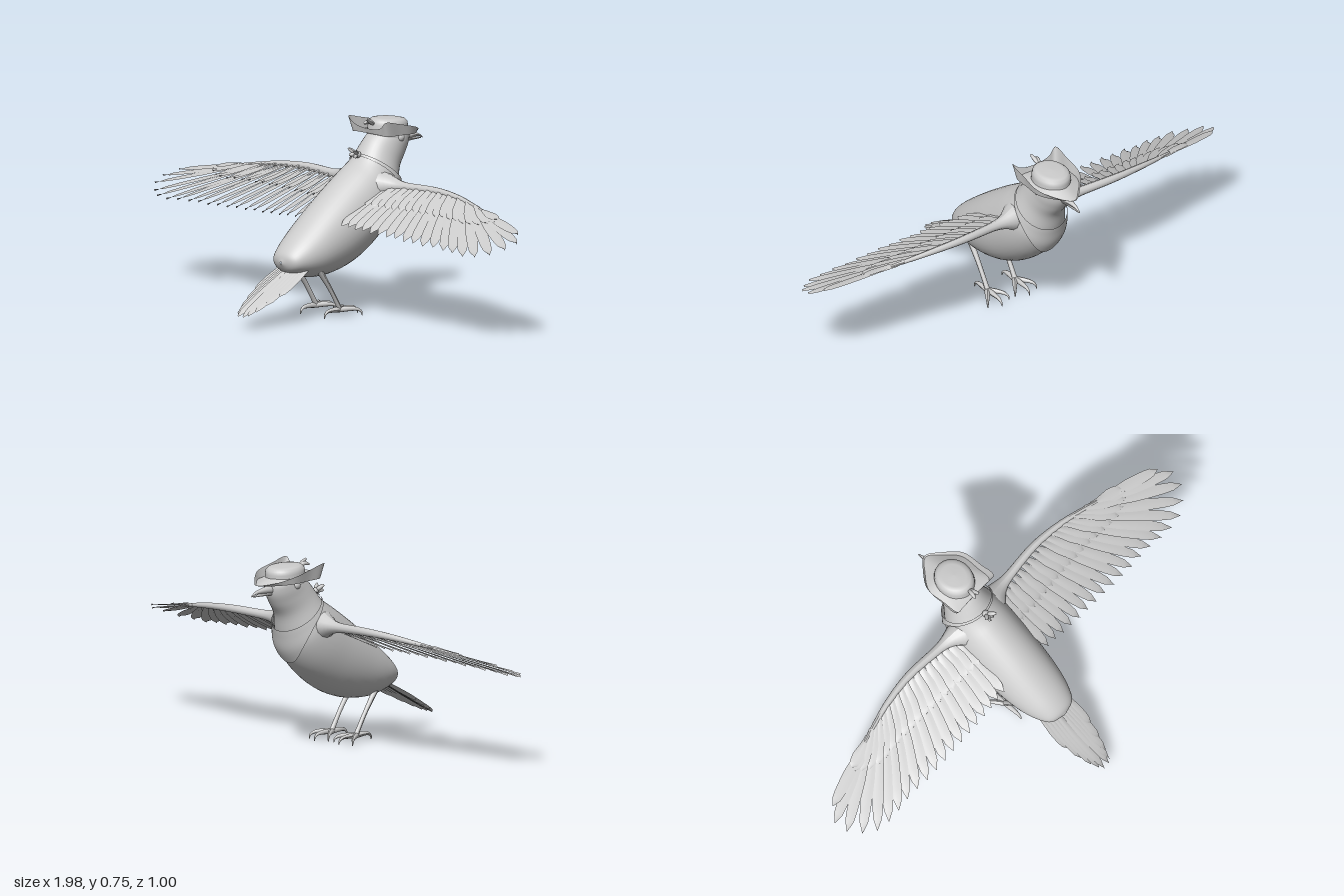
import * as THREE from 'three';
import { mergeVertices } from 'three/addons/utils/BufferGeometryUtils.js';

const mat = new THREE.MeshStandardMaterial({ color: 0xcccccc });
const thin = new THREE.MeshStandardMaterial({ color: 0xcccccc, side: THREE.DoubleSide });
const V = (x, y, z) => new THREE.Vector3(x, y, z);
const curve = (pts, closed = false) => new THREE.CatmullRomCurve3(pts.map(p => V(...p)), closed);

function add(parent, name, geometry, material = mat) {
  const mesh = new THREE.Mesh(geometry, material);
  mesh.name = name;
  parent.add(mesh);
  return mesh;
}

// Smooth surface from a rule fn(u, v), both running 0..1
function surface(nu, nv, fn) {
  const pos = [], idx = [];
  for (let i = 0; i <= nu; i++)
    for (let j = 0; j <= nv; j++) pos.push(...fn(i / nu, j / nv).toArray());
  for (let i = 0; i < nu; i++)
    for (let j = 0; j < nv; j++) {
      const a = i * (nv + 1) + j, b = a + 1, c = a + nv + 1, d = c + 1;
      idx.push(a, b, c, b, d, c);
    }
  let g = new THREE.BufferGeometry();
  g.setAttribute('position', new THREE.Float32BufferAttribute(pos, 3));
  g.setIndex(idx);
  g = mergeVertices(g, 1e-5);
  g.computeVertexNormals();
  return g;
}

// Tube whose radius follows a rule along its path
function taper(pts, radius, seg = 16, sides = 12) {
  const path = curve(pts);
  const g = new THREE.TubeGeometry(path, seg, 1, sides);
  const p = g.attributes.position, v = V(0, 0, 0);
  for (let k = 0; k < p.count; k++) {
    const t = Math.floor(k / (sides + 1)) / seg, c = path.getPointAt(t);
    v.fromBufferAttribute(p, k).sub(c).multiplyScalar(radius(t)).add(c);
    p.setXYZ(k, v.x, v.y, v.z);
  }
  g.computeVertexNormals();
  return g;
}
const lerpR = (a, b) => t => a + (b - a) * t;

// Body sections: back z, back y, belly z, belly y, half width
const sections = [
  [0.276, 0.245, 0.276, 0.235, 0.004], [0.265, 0.277, 0.25, 0.2, 0.06], [0.23, 0.315, 0.2, 0.18, 0.088],
  [0.16, 0.375, 0.12, 0.164, 0.112], [0.06, 0.455, 0, 0.175, 0.127], [-0.03, 0.52, -0.12, 0.22, 0.132],
  [-0.09, 0.56, -0.24, 0.31, 0.13], [-0.13, 0.585, -0.305, 0.4, 0.12], [-0.155, 0.607, -0.325, 0.47, 0.103],
  [-0.18, 0.64, -0.343, 0.54, 0.086], [-0.21, 0.675, -0.375, 0.59, 0.078], [-0.25, 0.705, -0.397, 0.635, 0.074],
  [-0.3, 0.722, -0.4, 0.67, 0.062], [-0.355, 0.712, -0.375, 0.7, 0.006],
];
const backLine = curve(sections.map(s => [s[4], s[1], s[0]]));
const bellyLine = curve(sections.map(s => [s[4], s[3], s[2]]));

// Point on the body: s = section number, angle 0 at the back, PI at the belly
function onBody(s, angle, grow = 0) {
  const t = s / (sections.length - 1);
  const a = backLine.getPoint(t), b = bellyLine.getPoint(t);
  const k = Math.cos(angle), half = a.clone().sub(b).multiplyScalar(0.5).setX(0);
  const len = half.length();
  const mid = a.clone().add(b).multiplyScalar(0.5).setX(0);
  return mid.addScaledVector(half, k * (1 + grow / Math.max(len, 0.02)))
    .setX(Math.sin(angle) * (a.x + grow));
}

// Rounded blade with a raised shaft
function feather(root, tip, width, up) {
  const dir = tip.clone().sub(root), side = dir.clone().cross(up).normalize();
  return surface(10, 4, (u, v) => {
    const e = v * 2 - 1;
    const w = width * (0.45 + 0.55 * Math.min(1, u * 2)) * Math.sqrt(Math.max(0, 1 - Math.pow(u, 7)));
    return root.clone().addScaledVector(dir, u).addScaledVector(side, e * w / 2)
      .addScaledVector(up, (1 - Math.abs(e)) * 0.004 * (1 - u) + e * 0.004);
  });
}

// Height of the sloping wing plane
const wingY = (x, z) => 0.508 - 0.42 * (z + 0.22) - 0.035 * Math.max(0, x - 0.45);

function makeWing() {
  const wing = new THREE.Group();
  wing.name = 'wing';
  const onWing = ([x, z]) => [x, wingY(x, z), z];
  const armPts = [[0.07, -0.19], [0.13, -0.205], [0.22, -0.213], [0.37, -0.222], [0.5, -0.21], [0.6, -0.19], [0.68, -0.17]].map(onWing);
  add(wing, 'wingArm', taper(armPts, t => 0.019 - 0.013 * t * t + 0.045 * Math.exp(-Math.pow(t / 0.12, 2)), 40));
  const roots = curve(armPts.slice(1));
  const tips = curve([[0.13, 0.07], [0.25, 0.08], [0.4, 0.085], [0.6, 0.09], [0.7, 0.085], [0.79, 0.092],
    [0.89, 0.085], [0.96, 0.03], [0.998, -0.03], [0.95, -0.095]].map(onWing));
  const up = V(0.03, 0.92, 0.39).normalize();
  const n = 20;
  for (let i = 0; i < n; i++) {
    const u = i / (n - 1);
    const root = roots.getPointAt(u), tip = tips.getPointAt(0.75 * u + 0.25 * u * u);
    const lift = (i % 2) * 0.003;
    root.y -= 0.004 - lift;
    tip.y -= 0.006 - lift;
    add(wing, 'flightFeather', feather(root, tip, 0.046, up), thin);
    // Shorter covert laid over each flight feather
    const cover = root.clone().lerp(tip, 0.52 - 0.12 * u);
    add(wing, 'covertFeather', feather(root.clone().setY(root.y + 0.006), cover.setY(cover.y + 0.005), 0.044, up), thin);
  }
  return wing;
}

function makeLeg() {
  const leg = new THREE.Group();
  leg.name = 'leg';
  add(leg, 'shank', taper([[0.066, 0.2, 0.13], [0.067, 0.11, 0.066], [0.067, 0.032, 0.018]], t => 0.013 - 0.004 * Math.sin(t * 2.4)));
  // Toes: sideways reach and lengthwise reach
  for (const [dx, dz] of [[-0.052, -0.075], [0, -0.1], [0.052, -0.075], [0, 0.082]]) {
    const at = (k, y) => [0.067 + dx * k, y, 0.02 + dz * k];
    add(leg, 'toe', taper([at(0, 0.028), at(0.45, 0.03), at(0.8, 0.027), at(0.97, 0.016), at(1, 0.002)],
      t => 0.011 - 0.0095 * t * t, 16, 8));
  }
  return leg;
}

function mirrored(parent, make, name) {
  for (const s of [1, -1]) {
    const part = make();
    part.name = (s > 0 ? 'left' : 'right') + name;
    part.scale.x = s;
    parent.add(part);
  }
}

function makeHat() {
  const hat = new THREE.Group();
  hat.name = 'hat';
  // Half outlines from back to point, mirrored into closed loops
  const loop = half => curve([...half, ...half.slice(1, -1).reverse().map(([x, y, z]) => [-x, y, z])], true);
  const rings = [
    loop([[0, 0.7, -0.235], [0.045, 0.7, -0.245], [0.065, 0.7, -0.27], [0.072, 0.7, -0.31], [0.06, 0.7, -0.36], [0.03, 0.7, -0.39], [0, 0.7, -0.4]]),
    loop([[0, 0.692, -0.212], [0.06, 0.692, -0.21], [0.096, 0.69, -0.214], [0.1, 0.688, -0.28], [0.096, 0.684, -0.36], [0.052, 0.679, -0.42], [0, 0.678, -0.465]]),
    loop([[0, 0.712, -0.206], [0.07, 0.722, -0.203], [0.105, 0.75, -0.198], [0.107, 0.736, -0.27], [0.104, 0.714, -0.36], [0.055, 0.69, -0.428], [0, 0.68, -0.471]]),
  ];
  for (let k = 0; k < 2; k++)
    add(hat, k ? 'upturnedBrim' : 'brim', surface(2, 72, (u, v) => rings[k].getPoint(v % 1).lerp(rings[k + 1].getPoint(v % 1), u)), thin);
  const profile = [[0.074, -0.035], [0.073, 0.01], [0.07, 0.025], [0.06, 0.034], [0.045, 0.037], [0, 0.039]];
  const crown = add(hat, 'crown', new THREE.LatheGeometry(profile.map(p => new THREE.Vector2(...p)), 40), thin);
  crown.position.set(0, 0.707, -0.312);
  crown.scale.z = 1.16;
  crown.rotation.x = -0.07;
  // Small tuft at the back
  for (const [x, y, z] of [[0.008, 0.752, -0.188], [-0.012, 0.732, -0.19]])
    add(hat, 'hatTuft', taper([[0, 0.722, -0.24], [x / 2, 0.738, -0.215], [x, y, z]], t => 0.003 + 0.006 * Math.sin(t * 3), 10, 8));
  return hat;
}

export function createModel() {
  const bird = new THREE.Group();
  bird.name = 'bird';
  const last = sections.length - 1;
  add(bird, 'body', surface(64, 40, (u, v) => onBody(u * last, v * Math.PI * 2)));

  // Beak and eyes
  add(bird, 'upperBeak', taper([[0, 0.656, -0.37], [0, 0.656, -0.44], [0, 0.651, -0.48], [0, 0.639, -0.502]], lerpR(0.022, 0.002)));
  add(bird, 'lowerBeak', taper([[0, 0.645, -0.37], [0, 0.642, -0.44], [0, 0.638, -0.494]], lerpR(0.015, 0.002)));
  for (const s of [1, -1])
    add(bird, 'eye', new THREE.SphereGeometry(0.02, 20, 14)).position.set(s * 0.062, 0.672, -0.316);

  bird.add(makeHat());

  // Neckerchief hugging the neck, pointed over the chest, knotted behind
  add(bird, 'neckerchief', surface(10, 60, (u, v) => {
    const angle = v * Math.PI * 2, front = (1 - Math.cos(angle)) / 2;
    const drop = 0.3 + 1.45 * Math.pow(front, 4);
    return onBody(8.3 - drop * u, angle, 0.006 + 0.008 * front * front);
  }), thin);
  add(bird, 'knot', new THREE.SphereGeometry(0.014, 16, 12)).position.set(0, 0.617, -0.146);
  for (const [x, y, z] of [[0.024, 0.64, -0.11], [-0.024, 0.643, -0.118], [0.012, 0.608, -0.115], [-0.012, 0.618, -0.11]])
    add(bird, 'knotEnd', taper([[0, 0.617, -0.146], [x / 2, (y + 0.62) / 2, (z - 0.14) / 2], [x, y, z]], t => 0.003 + 0.006 * Math.sin(t * 3), 10, 8));

  mirrored(bird, makeWing, 'Wing');
  mirrored(bird, makeLeg, 'Leg');

  // Tail fan: longest feathers in the middle
  const up = V(0, 0.87, 0.49);
  for (let i = 0; i < 5; i++)
    for (const s of [1, -1]) {
      const k = i / 4, z = [0.499, 0.485, 0.455, 0.41, 0.35][i];
      const y = 0.056 + (0.499 - z) * 0.54 - k * 0.008;
      add(bird, 'tailFeather', feather(V(s * (0.01 + 0.055 * k), 0.228 - 0.012 * k, 0.19), V(s * (0.014 + 0.056 * k), y, z), 0.036, up), thin);
    }
  return bird;
}
